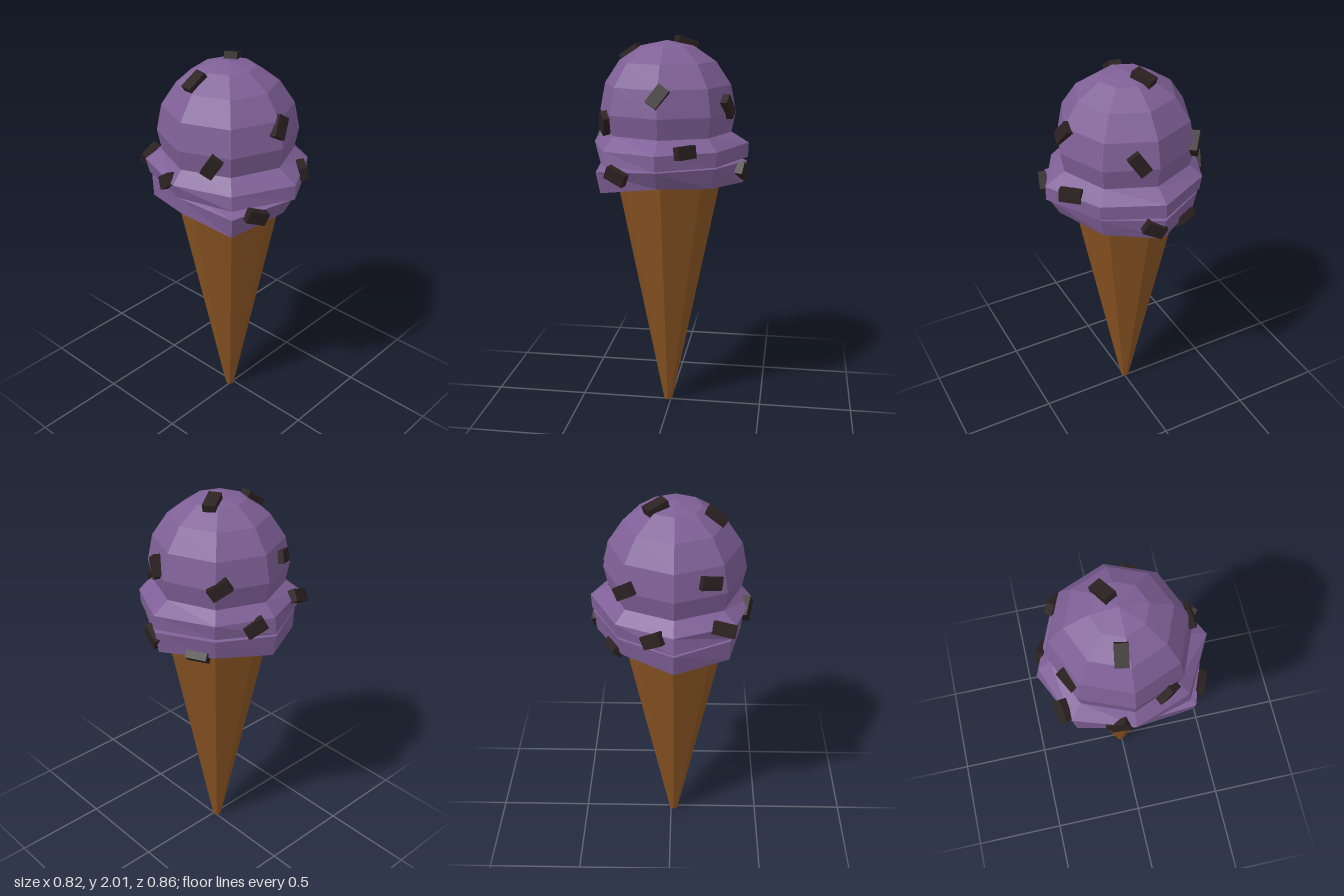
import * as THREE from 'three';

const CX = -0.02, CZ = -0.013, SIDES = 8;

const flat = (name, color) => {
  const m = new THREE.MeshStandardMaterial({ color, flatShading: true });
  m.name = name;
  return m;
};

// Flat-sided band through rings listed from top to bottom.
// Each ring is { r, y }, a number or one value per side, starting at +x and turning towards +z.
function loft(rings) {
  const at = (v, k) => (Array.isArray(v) ? v[k % SIDES] : v);
  const point = (ring, k) => {
    const a = (k / SIDES) * Math.PI * 2, r = at(ring.r, k);
    return [Math.cos(a) * r, at(ring.y, k), Math.sin(a) * r];
  };
  const pos = [];
  for (let i = 0; i < rings.length - 1; i++) {
    for (let k = 0; k < SIDES; k++) {
      const t0 = point(rings[i], k), t1 = point(rings[i], k + 1);
      const b0 = point(rings[i + 1], k), b1 = point(rings[i + 1], k + 1);
      pos.push(...b0, ...t0, ...t1, ...b0, ...t1, ...b1);
    }
  }
  const g = new THREE.BufferGeometry();
  g.setAttribute('position', new THREE.Float32BufferAttribute(pos, 3));
  g.computeVertexNormals();
  return g;
}

export function createModel() {
  const group = new THREE.Group();
  const wafer = flat('wafer brown', 0x8a5423);
  const cream = flat('berry purple', 0x7f6097);
  const chocolate = flat('dark chocolate', 0x2b2121);

  const add = (name, geometry, material, x = CX, y = 0, z = CZ) => {
    const mesh = new THREE.Mesh(geometry, material);
    mesh.name = name;
    mesh.position.set(x, y, z);
    group.add(mesh);
    return mesh;
  };

  // Cone
  add('cone', new THREE.CylinderGeometry(0.285, 0.023, 1.31, SIDES), wafer, -0.016, 0.655, -0.009);

  // Scoop
  add('scoop', new THREE.SphereGeometry(0.355, SIDES, 8), cream, CX, 1.635);

  // Upper frill around the scoop
  const outer = [0.425, 0.405, 0.44, 0.4, 0.39, 0.42, 0.4, 0.4];
  const lip = [0.422, 0.4, 0.44, 0.41, 0.365, 0.4, 0.415, 0.39];
  add('upperFrill', loft([
    { r: 0.335, y: 1.53 },
    { r: outer, y: [1.475, 1.47, 1.47, 1.46, 1.465, 1.48, 1.47, 1.475] },
    { r: lip, y: [1.4, 1.395, 1.395, 1.39, 1.39, 1.4, 1.385, 1.4] },
    { r: 0.3, y: 1.385 },
  ]), cream);

  // Lower frill hanging over the cone rim
  add('lowerFrill', loft([
    { r: 0.3, y: 1.4 },
    { r: [0.418, 0.39, 0.42, 0.445, 0.345, 0.39, 0.415, 0.38],
      y: [1.38, 1.385, 1.385, 1.36, 1.375, 1.38, 1.375, 1.38] },
    { r: [0.4, 0.36, 0.37, 0.42, 0.34, 0.385, 0.395, 0.36],
      y: [1.265, 1.28, 1.295, 1.25, 1.29, 1.27, 1.26, 1.28] },
    { r: 0.265, y: 1.285 },
  ]), cream);

  // Chocolate chips: position, roll, optional outward direction
  const chips = [
    [-0.02, 1.74, 0.315, 0.95],
    [-0.315, 1.585, 0.155, 1.0],
    [0.3, 1.67, 0.08, -0.95],
    [0.07, 1.978, -0.065, -1.57],
    [-0.215, 1.925, -0.045, 1.57],
    [-0.19, 1.7, -0.285, -0.25],
    [0.215, 1.645, -0.275, 0.6],
    // on the frills
    [0.12, 1.48, 0.355, 0, [0.74, 0.15, 0.66]],
    [-0.22, 1.355, 0.355, -0.4, [-0.35, -0.1, 0.9]],
    [0.375, 1.335, 0.035, -0.5, [1, -0.1, 0.25]],
    [-0.26, 1.48, -0.34, -0.4, [-0.3, 0.5, -0.8]],
    [0.08, 1.44, -0.38, 0.5, [0.5, 0.1, -0.85]],
    [-0.375, 1.45, -0.09, 0.6, [-0.9, 0.1, -0.3]],
    [0.28, 1.275, -0.19, 0, [0.6, -0.8, -0.3]],
  ];
  const chipGeometry = new THREE.BoxGeometry(0.11, 0.065, 0.04);
  for (const [x, y, z, roll, out] of chips) {
    const chip = add('chocolateChip', chipGeometry, chocolate, x, y, z);
    const n = out ? new THREE.Vector3(...out) : new THREE.Vector3(x - CX, y - 1.635, z - CZ);
    chip.lookAt(n.add(chip.position));
    chip.rotateZ(roll);
  }

  return group;
}
